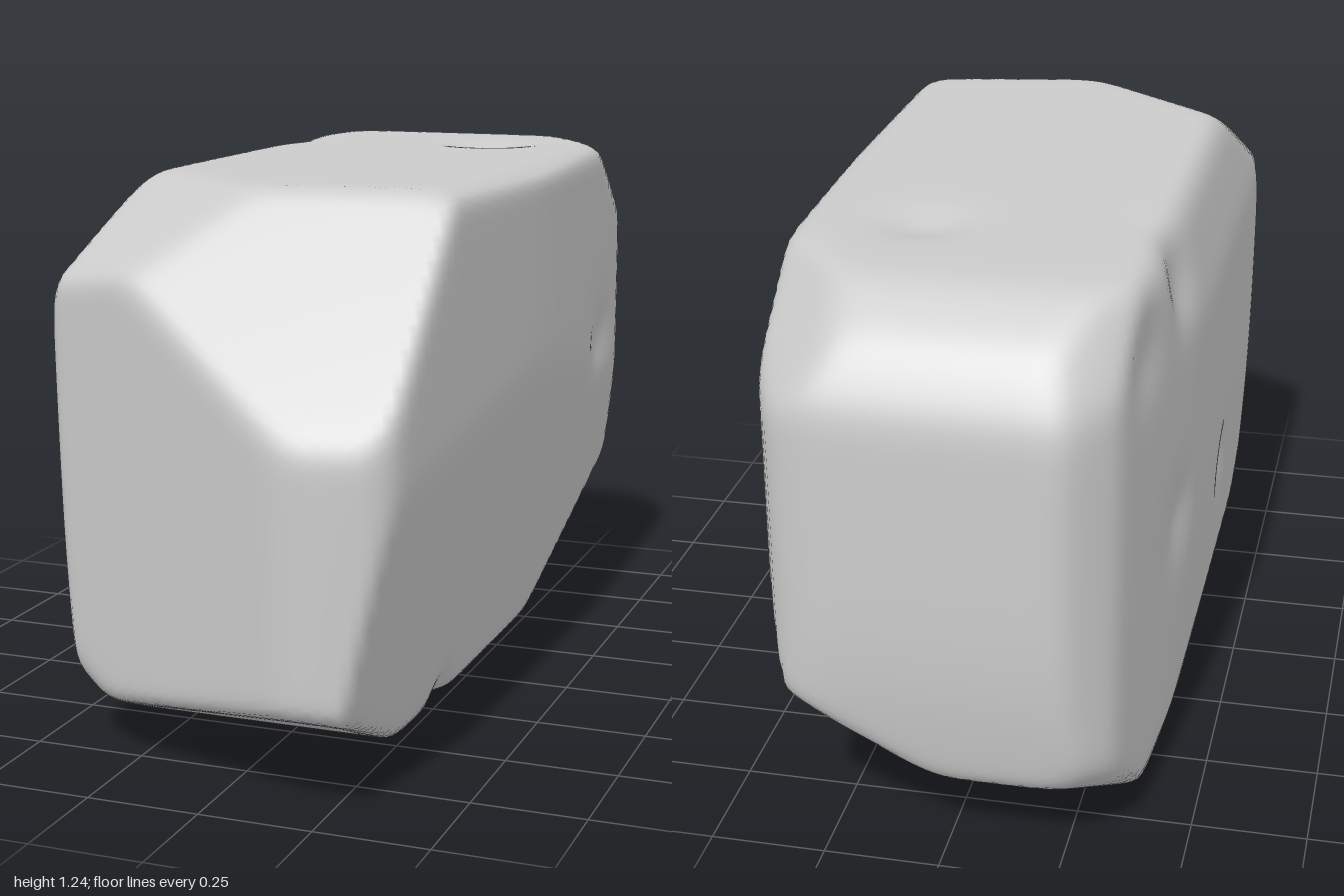
import * as THREE from 'three';
import { mergeVertices } from 'three/addons/utils/BufferGeometryUtils.js';

const CENTRE = new THREE.Vector3(0, 0.63, 0);
const EDGE_SHARPNESS = 75;

// Cleaved faces of the boulder: outward direction, then reach from the centre
const FACES = [
  // top and its long bevels
  [0, 1, 0, 0.618],
  [0.5, 0.87, 0, 0.725],
  [-0.7, 0.7, 0, 0.678],
  // gently rounded underside and its long bevels
  [0.07, -1, 0, 0.622],
  [-0.1, -1, 0, 0.645],
  [0, -1, 0.1, 0.64],
  [0, -1, -0.06, 0.64],
  [0.6, -0.8, 0, 0.63],
  [-0.8, -0.6, 0, 0.646],
  // left side, bowed above and tapering below
  [1, 0, 0.03, 0.434],
  [1, 0, -0.04, 0.434],
  [0.977, -0.21, 0, 0.391],
  // right side, leaning in at top and bottom and narrowing to the back
  [-1, 0, 0, 0.439],
  [-1, 0.25, 0, 0.53],
  [-1, -0.06, 0, 0.445],
  [-1, 0, -0.13, 0.474],
  // front: main slope, narrow edge, corner, upper chips, undercut, lower corner
  [-0.39, -0.025, 0.92, 0.856],
  [0.2, -0.027, 1, 1.048],
  [0.8, 0, 0.6, 0.88],
  [0.042, 0.183, 0.223, 0.261],
  [-0.385, 1, 0.51, 0.965],
  [0, -0.92, 0.4, 0.765],
  [-0.6, -0.6, 0.5, 0.875],
  // back: end face, upper and lower bevels, upright corners
  [0, 0, -1, 1.005],
  [0, 0.52, -0.85, 1.063],
  [0, 0.85, -0.52, 0.936],
  [0, -0.2, -1, 1.047],
  [0, -0.89, -0.45, 0.821],
  [0.92, 0, -0.39, 0.692],
  [0.5, 0, -0.87, 1.007],
  [-0.77, 0, -0.64, 0.847],
  // back: chipped corners
  [0.62, 0.63, -0.47, 0.903],
  [0.44, -0.79, -0.42, 0.758],
  [-0.6, 0.5, -0.6, 0.967],
  [-0.5, -0.6, -0.6, 0.96],
];

// Weathered hollows: position, radius, depth
const HOLLOWS = [
  [0.14, 1.24, -0.48, 0.09, 0.022],
  [0.42, 0.74, -0.62, 0.09, 0.02],
  [-0.4, 1.14, -0.42, 0.1, 0.03],
  [-0.37, 1.1, -0.72, 0.1, 0.025],
  [-0.42, 0.6, -0.45, 0.09, 0.015],
  [-0.43, 0.42, 0.22, 0.08, 0.018],
  [0.27, 0.04, 0.28, 0.07, 0.025],
];

function boulderGeometry() {
  const planes = FACES.map(([x, y, z, reach]) => new THREE.Vector3(x, y, z).divideScalar(reach));

  // Each hollow is pressed in towards the long axis
  const hollows = HOLLOWS.map(([x, y, z, radius, depth]) => ({
    at: new THREE.Vector3(x, y, z),
    push: new THREE.Vector3(-x, CENTRE.y - y, 0).setLength(depth),
    radius,
  }));

  const sphere = new THREE.IcosahedronGeometry(1, 54);
  sphere.deleteAttribute('uv');
  sphere.deleteAttribute('normal');
  const geometry = mergeVertices(sphere, 1e-5);

  const pos = geometry.attributes.position;
  const v = new THREE.Vector3();
  const shift = new THREE.Vector3();
  for (let i = 0; i < pos.count; i++) {
    // Soft intersection of all the faces
    v.fromBufferAttribute(pos, i);
    let sum = 0;
    for (const plane of planes) sum += Math.max(0, plane.dot(v)) ** EDGE_SHARPNESS;
    v.multiplyScalar(sum ** (-1 / EDGE_SHARPNESS)).add(CENTRE);

    shift.set(0, 0, 0);
    for (const { at, push, radius } of hollows) {
      shift.addScaledVector(push, Math.exp(-((v.distanceTo(at) / radius) ** 2)));
    }
    v.add(shift);
    pos.setXYZ(i, v.x, v.y, v.z);
  }
  geometry.computeVertexNormals();
  return geometry;
}

export function createModel() {
  const group = new THREE.Group();
  group.name = 'rock';
  const boulder = new THREE.Mesh(
    boulderGeometry(),
    new THREE.MeshStandardMaterial({ color: 0xcccccc })
  );
  boulder.name = 'boulder';
  group.add(boulder);
  return group;
}
